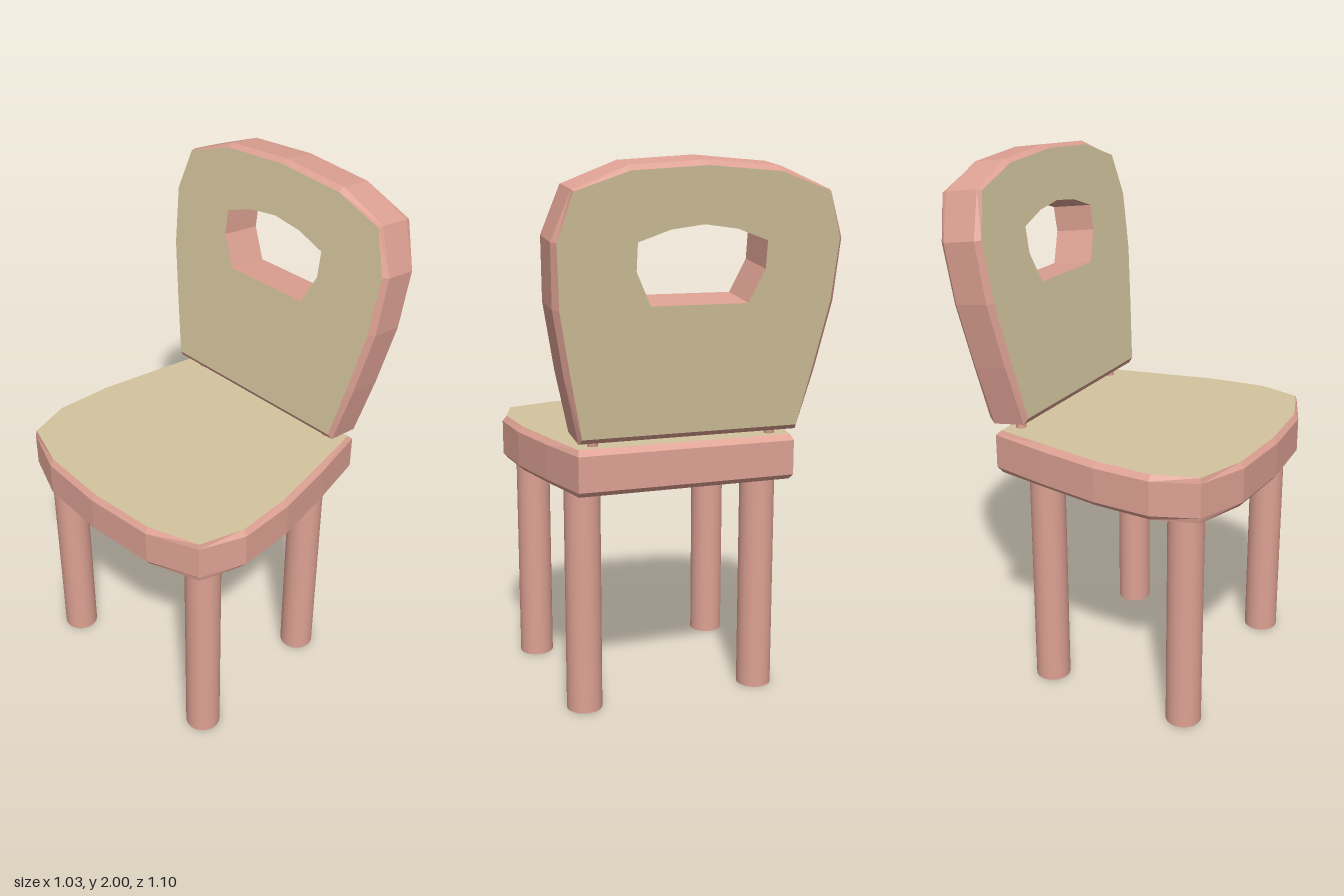
import * as THREE from 'three';

const HALF = 0.084; // half thickness of a slab
const EDGE = 0.064; // half height of its straight side
const TILT = THREE.MathUtils.degToRad(8);

// Right half of each outline, from the wide rounded end to the narrow end
const RIM = [[0, 0.475], [0.265, 0.456], [0.452, 0.38], [0.516, 0.215], [0.506, -0.005], [0.46, -0.245], [0.405, -0.475]];
const FACE = [[0, 0.459], [0.262, 0.441], [0.449, 0.376], [0.5, 0.215], [0.487, -0.005], [0.441, -0.245], [0.398, -0.453]];
const GRIP = [[0, 0.269], [0.118, 0.253], [0.23, 0.213], [0.23, 0.117], [0.175, 0]];

// Full counter-clockwise loop from a half outline
function mirrorLoop(half) {
  const left = half.slice(1).map(([x, y]) => [-x, y]);
  return [...left, ...half.slice(1).reverse(), half[0]];
}

// Flat-sided wall through a stack of loops, given as [loop, z]
function wall(stack, inward = false) {
  const pos = [];
  for (let k = 0; k < stack.length - 1; k++) {
    const [lo, z0] = stack[k], [hi, z1] = stack[k + 1];
    for (let i = 0; i < lo.length; i++) {
      const j = (i + 1) % lo.length;
      const a = [...lo[i], z0], b = [...lo[j], z0], c = [...hi[j], z1], d = [...hi[i], z1];
      const tris = inward ? [a, c, b, a, d, c] : [a, b, c, a, c, d];
      pos.push(...tris.flat());
    }
  }
  const geo = new THREE.BufferGeometry();
  geo.setAttribute('position', new THREE.Float32BufferAttribute(pos, 3));
  geo.computeVertexNormals();
  return geo;
}

export function createModel() {
  const model = new THREE.Group();
  model.name = 'chair';
  const wood = new THREE.MeshStandardMaterial({ name: 'pinkWood', color: 0xdda193 });
  const cream = new THREE.MeshStandardMaterial({ name: 'creamPanel', color: 0xd3c49d });

  const add = (parent, name, geo, mat) => {
    const mesh = new THREE.Mesh(geo, mat);
    mesh.name = name;
    parent.add(mesh);
    return mesh;
  };

  // Bevelled slab with cream faces, wooden rim and an optional grip hole
  function slab(name, withGrip) {
    const group = new THREE.Group();
    group.name = name;
    const rim = mirrorLoop(RIM), face = mirrorLoop(FACE), grip = mirrorLoop(GRIP);
    add(group, name + 'Rim', wall([[face, -HALF], [rim, -EDGE], [rim, EDGE], [face, HALF]]), wood);
    const toPoints = (loop) => loop.map(([x, y]) => new THREE.Vector2(x, y));
    const shape = new THREE.Shape(toPoints(face));
    if (withGrip) {
      shape.holes.push(new THREE.Path(toPoints(grip)));
      add(group, name + 'Grip', wall([[grip, -HALF], [grip, HALF]], true), wood);
    }
    for (const side of [1, -1]) {
      const cap = new THREE.ShapeGeometry(shape);
      if (side < 0) cap.rotateY(Math.PI);
      cap.translate(0, 0, side * HALF);
      add(group, name + (side > 0 ? 'FrontFace' : 'BackFace'), cap, cream);
    }
    model.add(group);
    return group;
  }

  // Seat lies flat with its wide end to the front
  const seat = slab('seat', false);
  seat.rotation.x = Math.PI / 2;
  seat.position.set(0, 0.934, 0.075);

  // Backrest leans backwards
  const backrest = slab('backrest', true);
  backrest.rotation.x = -TILT;
  backrest.position.set(0, 1.522, -0.405);

  for (const [side, label] of [[1, 'left'], [-1, 'right']]) {
    // Legs
    for (const [end, x, z] of [['Front', 0.38, 0.368], ['Rear', 0.343, -0.22]]) {
      const leg = add(model, label + end + 'Leg', new THREE.CylinderGeometry(0.066, 0.066, 0.86, 24), wood);
      leg.position.set(side * x, 0.43, z);
    }
    // Pins joining the seat and backrest
    const pin = add(model, label + 'Pin', new THREE.CylinderGeometry(0.019, 0.019, 0.18, 12), wood);
    pin.position.set(side * 0.335, 1.04, -0.336);
    pin.rotation.x = -TILT;
  }
  return model;
}
